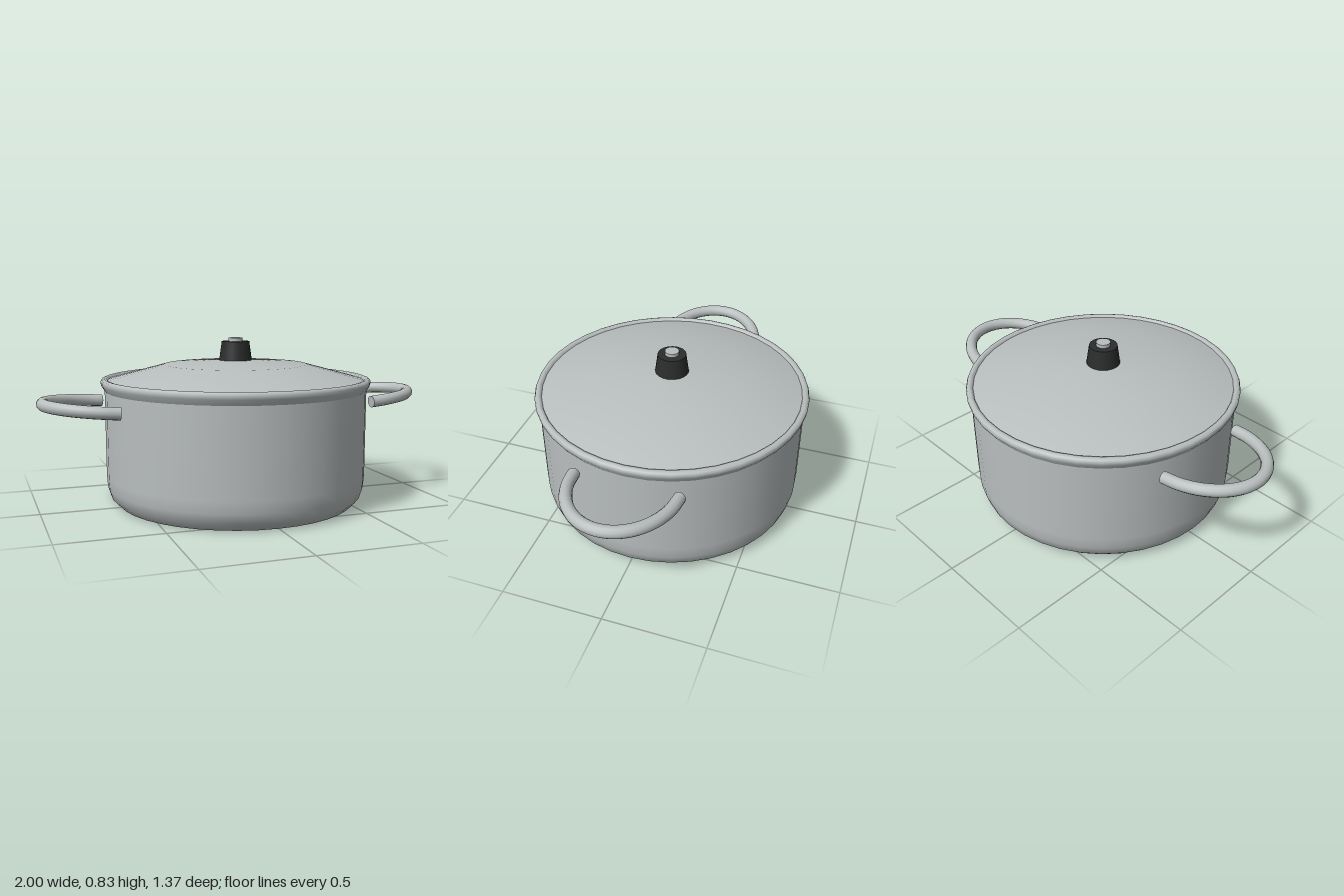
import * as THREE from 'three';

const steel = new THREE.MeshStandardMaterial({ color: 0xb9bebe });
steel.name = 'steel';
const black = new THREE.MeshStandardMaterial({ color: 0x2b2c2c });
black.name = 'blackPlastic';

function add(parent, name, geometry, material, y = 0) {
  const mesh = new THREE.Mesh(geometry, material);
  mesh.name = name;
  mesh.position.y = y;
  parent.add(mesh);
  return mesh;
}

// Turned part from [radius, height] pairs, bottom to top
const lathe = (profile) =>
  new THREE.LatheGeometry(profile.map(([r, y]) => new THREE.Vector2(r, y)), 40);

// Half-oval loop that rises slightly outwards, with closed ends
function makeHandle(name) {
  const handle = new THREE.Group();
  handle.name = name;
  const points = [];
  for (let i = 0; i <= 12; i++) {
    const a = -Math.PI / 2 + (Math.PI * i) / 12;
    const out = Math.cos(a);
    points.push(new THREE.Vector3(0.645 + 0.325 * out, 0.51 + 0.025 * out, 0.255 * Math.sin(a)));
  }
  const radius = 0.03;
  const curve = new THREE.CatmullRomCurve3(points);
  add(handle, 'handleLoop', new THREE.TubeGeometry(curve, 32, radius, 12), steel);
  for (const t of [0, 1]) {
    const cap = add(handle, 'handleEnd', new THREE.CircleGeometry(radius, 12), steel);
    cap.position.copy(curve.getPointAt(t));
    const outward = curve.getTangentAt(t).multiplyScalar(t ? 1 : -1);
    cap.quaternion.setFromUnitVectors(new THREE.Vector3(0, 0, 1), outward);
  }
  return handle;
}

export function createModel() {
  const pot = new THREE.Group();
  pot.name = 'cookingPot';

  // Body with rounded lower edge
  add(pot, 'body', lathe([
    [0, 0], [0.54, 0], [0.605, 0.002], [0.642, 0.04], [0.658, 0.09], [0.662, 0.15], [0.663, 0.585],
  ]), steel);

  // Flared rim rolled over to the lid
  add(pot, 'rim', lathe([
    [0.662, 0.575], [0.68, 0.604], [0.683, 0.62], [0.678, 0.632], [0.665, 0.637], [0.652, 0.634], [0.645, 0.62],
  ]), steel);

  // Shallow domed lid
  add(pot, 'lid', lathe([
    [0.65, 0.625], [0.606, 0.637], [0.363, 0.702], [0.08, 0.722], [0, 0.725],
  ]), steel);

  // Knob and its screw cap
  add(pot, 'knob', new THREE.CylinderGeometry(0.07, 0.084, 0.1, 24), black, 0.767);
  add(pot, 'knobCap', new THREE.CylinderGeometry(0.035, 0.035, 0.03, 20), steel, 0.82);

  // Side handles
  const left = makeHandle('leftHandle');
  const right = makeHandle('rightHandle');
  right.rotation.y = Math.PI;
  pot.add(left, right);

  return pot;
}
